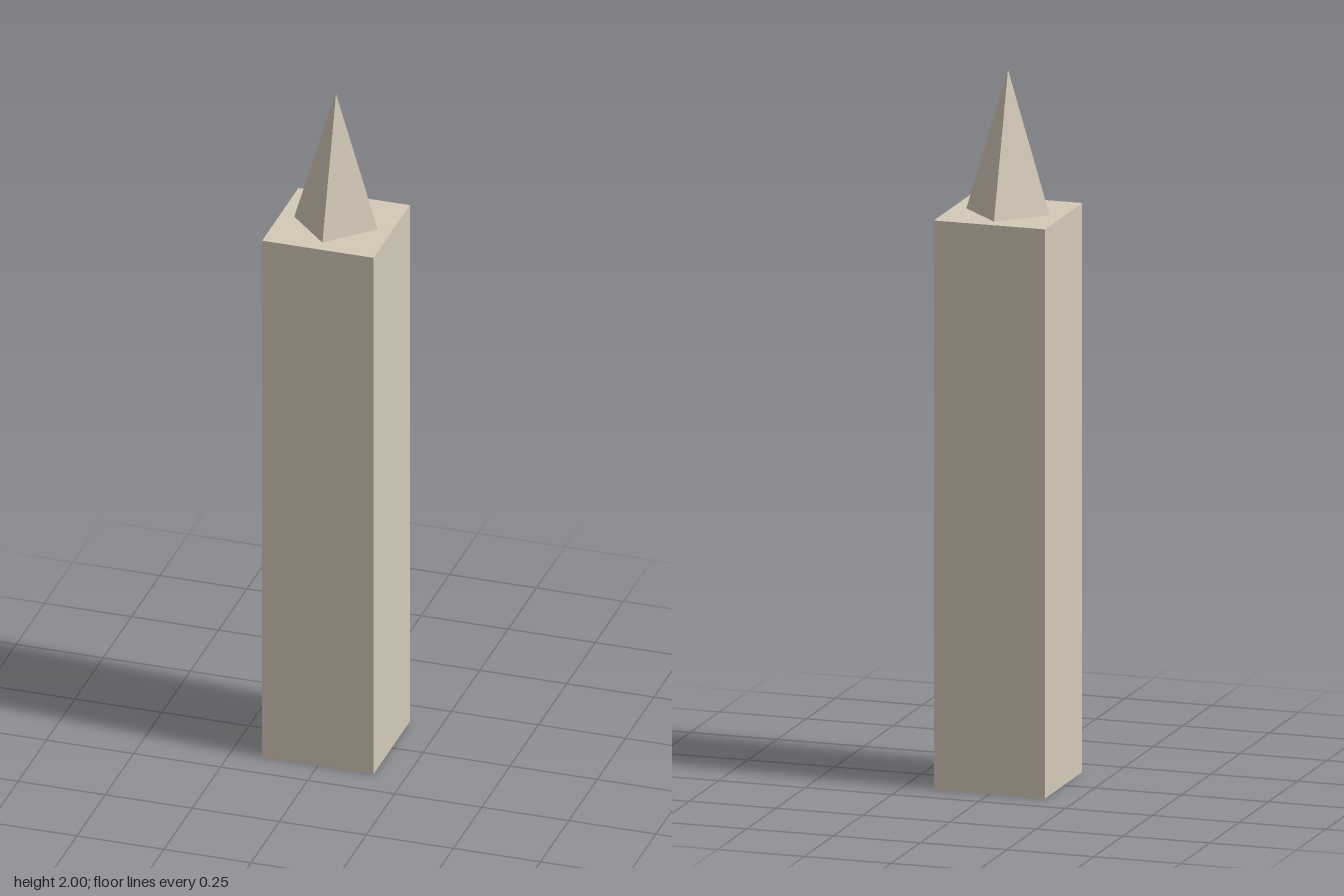
import * as THREE from 'three';

export function createModel() {
  const model = new THREE.Group();
  model.name = 'tower';
  const stone = new THREE.MeshStandardMaterial({ color: 0xd4cab8, flatShading: true });

  const addPart = (name, geometry, y) => {
    const mesh = new THREE.Mesh(geometry, stone);
    mesh.name = name;
    mesh.position.y = y;
    model.add(mesh);
  };

  // Square shaft
  const shaftHeight = 1.6;
  addPart('shaft', new THREE.BoxGeometry(0.32, shaftHeight, 0.32), shaftHeight / 2);

  // Four-sided spire, its corners pointing along the axes
  const spireHeight = 0.4;
  addPart('spire', new THREE.ConeGeometry(0.12, spireHeight, 4), shaftHeight + spireHeight / 2);

  return model;
}
